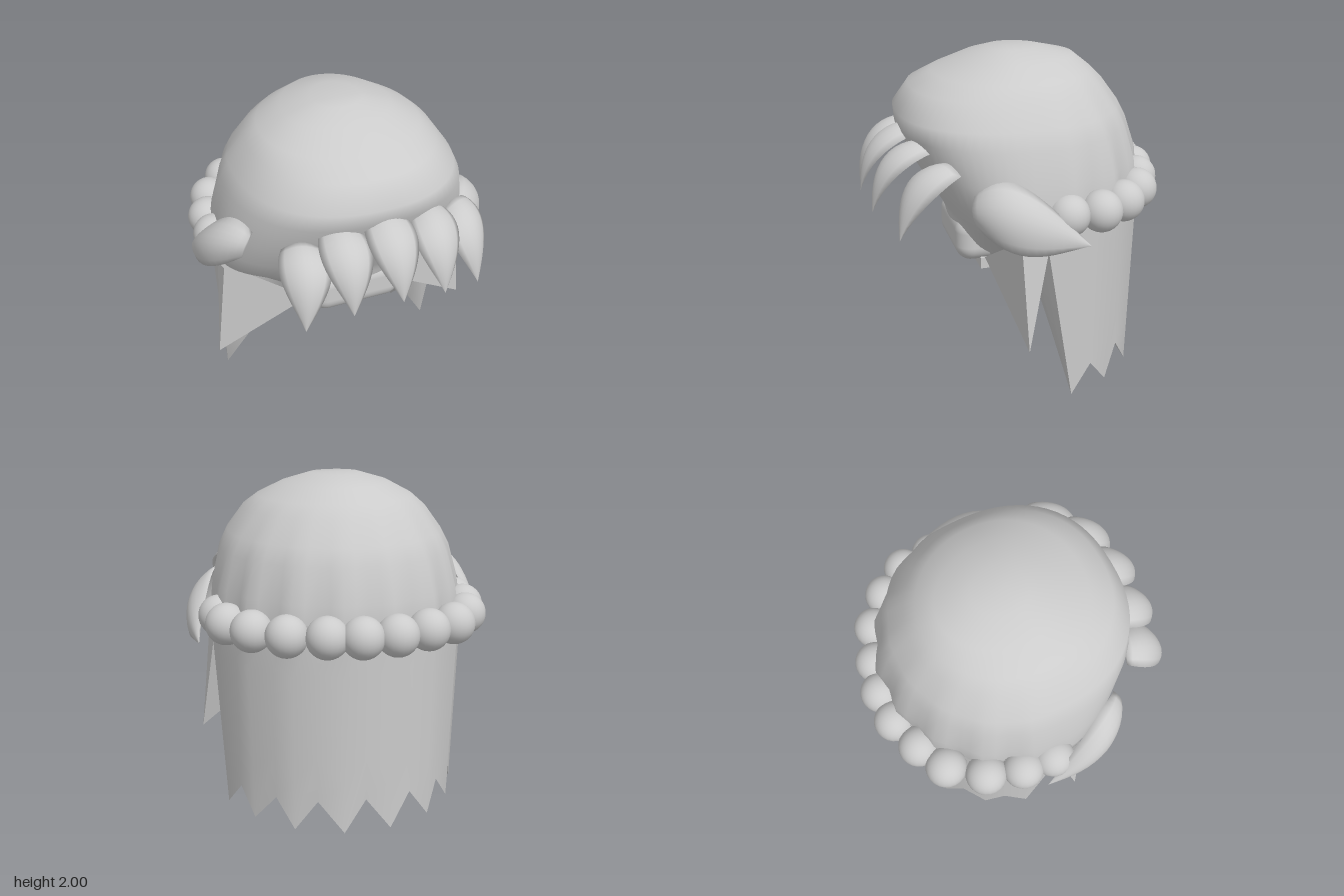
import * as THREE from 'three';
import { RoundedBoxGeometry } from 'three/addons/geometries/RoundedBoxGeometry.js';

const V = (x, y, z) => new THREE.Vector3(x, y, z);
const solid = new THREE.MeshStandardMaterial({ color: 0xcccccc });
const thin = new THREE.MeshStandardMaterial({ color: 0xcccccc, side: THREE.DoubleSide });

function add(parent, name, geometry, material = solid) {
  const mesh = new THREE.Mesh(geometry, material);
  mesh.name = name;
  parent.add(mesh);
  return mesh;
}

// Skin over rows of points; columns run counter-clockwise seen from above
function skin(rows, closed) {
  const n = rows[0].length, index = [];
  for (let i = 0; i < rows.length - 1; i++) {
    for (let j = 0; j < (closed ? n : n - 1); j++) {
      const k = (j + 1) % n;
      const a = i * n + j, b = i * n + k, c = a + n, d = b + n;
      index.push(a, c, b, b, c, d);
    }
  }
  const g = new THREE.BufferGeometry().setFromPoints(rows.flat());
  g.setIndex(index);
  g.computeVertexNormals();
  return g;
}

// Head: rings of y, half width, front depth, back depth, strand ridge depth, front roundness
function headGeometry() {
  const levels = [
    [2.0, 0.001, 0.001, 0.001, 0, 1], [2.0, 0.15, 0.12, 0.2, 0, 1],
    [1.95, 0.32, 0.27, 0.4, 0, 1], [1.87, 0.47, 0.46, 0.5, 0, 0.95],
    [1.8, 0.55, 0.6, 0.57, 0.003, 0.9], [1.66, 0.65, 0.69, 0.67, 0.007, 0.85],
    [1.56, 0.7, 0.68, 0.72, 0.01, 0.85], [1.36, 0.75, 0.59, 0.78, 0.02, 0.85],
    [1.2, 0.77, 0.5, 0.79, 0.03, 0.88], [1.07, 0.77, 0.42, 0.77, 0.03, 0.95],
    [1.0, 0.65, 0.39, 0.7, 0, 1], [0.9, 0.48, 0.37, 0.55, 0, 1],
    [0.8, 0.34, 0.35, 0.4, 0, 1], [0.74, 0.29, 0.32, 0.3, 0, 1],
    [0.72, 0.001, 0.001, 0.001, 0, 1],
  ];
  const columns = 66;
  const rows = levels.map(([y, w, f, b, ridge, round]) => {
    const row = [];
    for (let j = 0; j < columns; j++) {
      const t = (j / columns) * Math.PI * 2, s = Math.sin(t), c = Math.cos(t);
      const fade = THREE.MathUtils.clamp(-3 * c, 0, 1);
      const r = 1 - ridge * fade * Math.cos(16.5 * (t - Math.PI));
      row.push(c > 0
        ? V(Math.sign(s) * w * Math.abs(s) ** round, y, f * c ** round)
        : V(s * w * r, y, c * b * r));
    }
    return row;
  });
  return skin(rows, true);
}

// Curved pointed leaf along a quadratic curve, with a lens section; root sets how wide it starts
function leafGeometry(p0, p1, p2, side, halfWidth, cup, root) {
  const curve = new THREE.QuadraticBezierCurve3(V(...p0), V(...p1), V(...p2));
  const rows = [], steps = 14, across = 8;
  for (let i = 0; i <= steps; i++) {
    const u = i / steps;
    const w = Math.max(0.001, Math.sin(Math.PI * (root + (1 - root) * u)));
    const normal = curve.getTangent(u).cross(side).normalize();
    const at = (v, lift) => curve.getPoint(u)
      .addScaledVector(side, v * w * halfWidth)
      .addScaledVector(normal, (1 - v * v) * w * lift);
    const row = [];
    for (let j = 0; j < across; j++) row.push(at(-1 + (2 * j) / across, cup));
    for (let j = 0; j < across; j++) row.push(at(1 - (2 * j) / across, cup * 0.25));
    rows.push(row);
  }
  rows.unshift(rows[0].map(() => curve.getPoint(0)));
  return skin(rows, true);
}

// Long hair: ridged outer curtain with a zigzag hem, lining running in to the neck
function buildHair(group) {
  const half = [
    V(0.77, 0.98, -0.03), V(0.73, 0, -0.2), V(0.67, 0.16, -0.34), V(0.61, 0, -0.46),
    V(0.5, 0.17, -0.57), V(0.41, 0, -0.67), V(0.28, 0.18, -0.71), V(0.14, 0, -0.79),
  ];
  const mirrored = half.slice().reverse().map(p => V(-p.x, p.y, p.z));
  const hem = [...half, V(0, 0.18, -0.75), ...mirrored];
  const top = hem.map(p => {
    const k = (p.y === 0 ? 1.03 : 0.975) / Math.hypot(p.x / 0.775, p.z / 0.795);
    return V(p.x * k, 1.25, p.z * k);
  });
  const neck = hem.map((p, j) => {
    const t = (j / (hem.length - 1)) * Math.PI;
    return V(Math.cos(t) * 0.3, 0.73, -Math.sin(t) * 0.28);
  });
  const between = (a, b) => [0, 0.25, 0.5, 0.75, 1]
    .map(t => a.map((p, j) => p.clone().lerp(b[j], t)));
  add(group, 'hairCurtain', skin(between(top, hem), false), thin);
  add(group, 'hairLining', skin(between(hem, neck), false), thin);
}

// Pointed lock hanging beside each cheek
function lockGeometry(s) {
  const a = V(s * 0.77, 1.07, 0.13), d = V(s * 0.77, 1.0, -0.03);
  const tip = V(s * 0.84, 0.4, 0.1), c = V(s * 0.28, 0.77, 0.22);
  const faces = [[a, c, tip], [a, tip, d], [c, d, tip], [a, d, c]];
  const points = faces.flatMap(f => (s > 0 ? f : [f[0], f[2], f[1]]));
  const g = new THREE.BufferGeometry().setFromPoints(points);
  g.computeVertexNormals();
  return g;
}

export function createModel() {
  const model = new THREE.Group();
  model.name = 'headWithHeadband';

  add(model, 'head', headGeometry());
  add(model, 'muzzle', new RoundedBoxGeometry(0.58, 0.29, 0.36, 5, 0.1))
    .position.set(0, 0.88, 0.205);

  // Small blocks under the jaw
  add(model, 'neckBlock', new RoundedBoxGeometry(0.24, 0.12, 0.2, 1, 0.03))
    .position.set(-0.09, 0.71, -0.16);
  for (const s of [-1, 1]) {
    add(model, 'jawBlock', new THREE.BoxGeometry(0.18, 0.07, 0.27))
      .position.set(s * 0.19, 0.73, 0.11);
  }

  buildHair(model);
  add(model, 'leftCheekLock', lockGeometry(1));
  add(model, 'rightCheekLock', lockGeometry(-1));

  // Beads around the back of the head
  const beads = new THREE.Group();
  beads.name = 'beadString';
  model.add(beads);
  const beadGeometry = new THREE.SphereGeometry(0.123, 24, 16);
  const beadPlaces = [
    [-0.77, -0.07], [-0.755, -0.26], [-0.69, -0.47], [-0.545, -0.66],
    [-0.36, -0.75], [-0.155, -0.815], [0.045, -0.815], [0.235, -0.765],
    [0.445, -0.68], [0.615, -0.53], [0.73, -0.35], [0.745, -0.15],
  ];
  for (const [x, z] of beadPlaces) add(beads, 'bead', beadGeometry).position.set(x, 1.19, z);

  // Front leaves: root, bend, tip, yaw
  const leaves = [
    [[-0.43, 1.43, 0.56], [-0.45, 1.4, 0.77], [-0.5, 1.07, 0.83], -0.3],
    [[-0.22, 1.51, 0.58], [-0.225, 1.48, 0.83], [-0.24, 1.15, 0.89], -0.12],
    [[0.04, 1.55, 0.58], [0.04, 1.51, 0.85], [0.04, 1.19, 0.92], 0],
    [[0.31, 1.51, 0.57], [0.315, 1.48, 0.82], [0.31, 1.15, 0.89], 0.15],
    [[0.54, 1.44, 0.48], [0.555, 1.4, 0.7], [0.58, 1.07, 0.78], 0.4],
  ];
  for (const [p0, p1, p2, yaw] of leaves) {
    const side = V(Math.cos(yaw), 0, -Math.sin(yaw));
    add(model, 'frontLeaf', leafGeometry(p0, p1, p2, side, 0.145, 0.065, 0.27));
  }

  // Larger leaves at the temples, lower edge flared outwards
  add(model, 'leftTempleLeaf', leafGeometry(
    [0.66, 1.23, 0.36], [0.86, 1.29, 0.2], [0.88, 1.05, -0.24],
    V(-0.4, 0.92, 0), 0.2, 0.08, 0.15));
  add(model, 'rightTempleLeaf', leafGeometry(
    [-0.68, 1.39, 0.37], [-0.87, 1.38, 0.22], [-0.89, 1.07, -0.16],
    V(-0.4, -0.92, 0), 0.17, 0.08, 0.17));

  return model;
}
